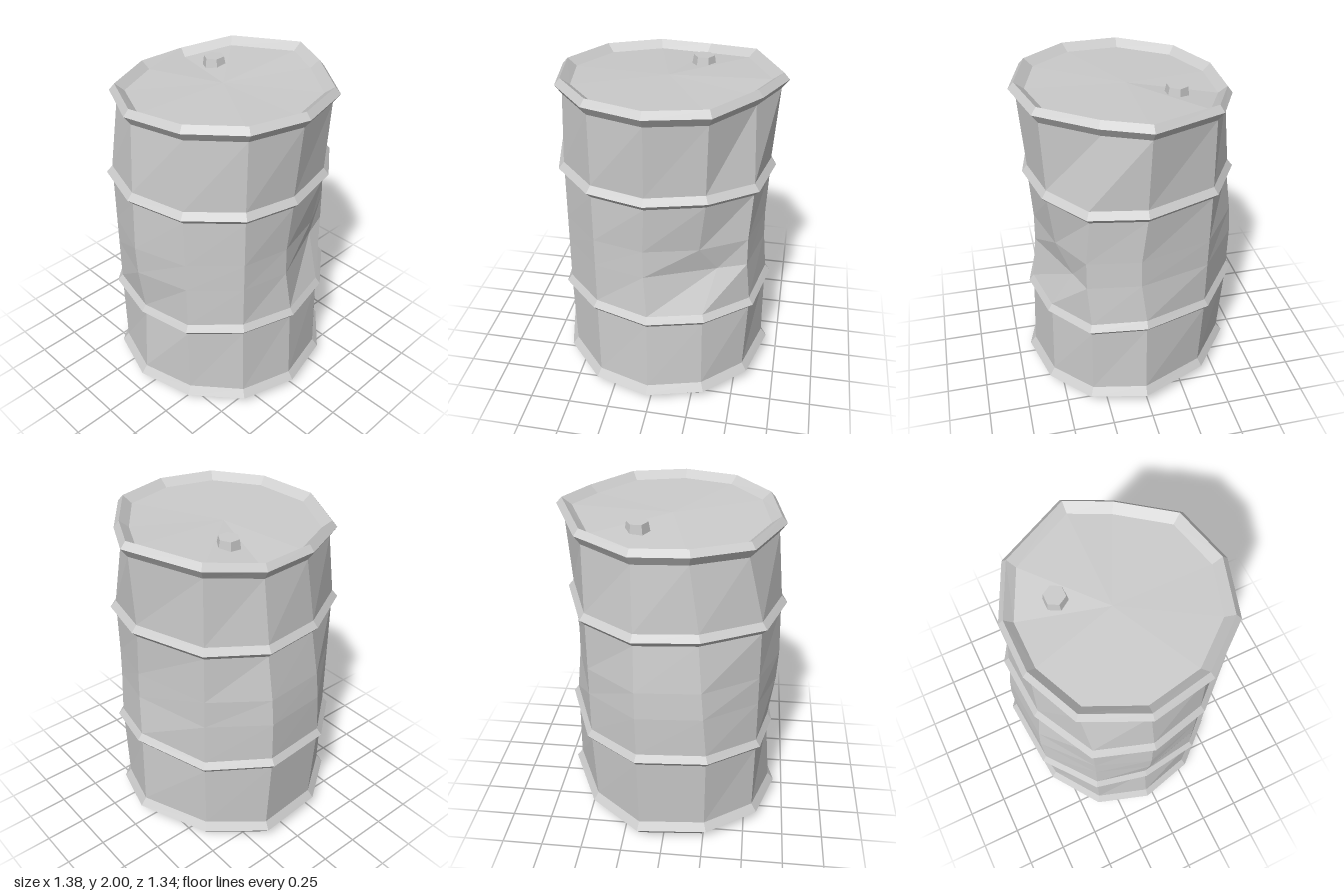
import * as THREE from 'three';

// Outermost corners [x, y, z] of the four hoops, from the front round past the model's left.
const bottomRim = [
  [-0.02, 0.06, 0.67], [0.33, 0.07, 0.585], [0.58, 0.08, 0.36], [0.68, 0.11, 0.02],
  [0.48, 0.08, -0.4], [0.16, 0.07, -0.645], [-0.27, 0.07, -0.61], [-0.58, 0.07, -0.39],
  [-0.69, 0.07, -0.05], [-0.6, 0.07, 0.3], [-0.36, 0.06, 0.565]];
const lowerHoop = [
  [-0.02, 0.61, 0.64], [0.32, 0.62, 0.565], [0.59, 0.63, 0.355], [0.665, 0.66, 0.02],
  [0.49, 0.61, -0.41], [0.16, 0.635, -0.67], [-0.27, 0.63, -0.635], [-0.575, 0.6, -0.39],
  [-0.645, 0.58, -0.06], [-0.6, 0.61, 0.3], [-0.36, 0.625, 0.55]];
const upperHoop = [
  [-0.03, 1.425, 0.625], [0.32, 1.44, 0.555], [0.58, 1.43, 0.35], [0.65, 1.435, 0.02],
  [0.49, 1.43, -0.42], [0.17, 1.415, -0.615], [-0.21, 1.42, -0.59], [-0.57, 1.42, -0.4],
  [-0.685, 1.43, -0.06], [-0.6, 1.425, 0.29], [-0.36, 1.435, 0.555]];
const topRim = [
  [-0.02, 1.96, 0.665], [0.33, 1.96, 0.58], [0.56, 1.96, 0.27], [0.685, 1.965, 0.01],
  [0.49, 1.94, -0.42], [0.18, 1.9, -0.575], [-0.15, 1.91, -0.575], [-0.48, 1.91, -0.43],
  [-0.65, 1.93, -0.08], [-0.585, 1.95, 0.29], [-0.36, 1.96, 0.565]];

// Copy of an outline, shrunk towards the axis and moved up or down
const inset = (ring, scale, dy) => ring.map(([x, y, z]) => [x * scale, Math.max(0, y + dy), z * scale]);
const between = (a, b, t) => a.map((p, k) => p.map((v, i) => v + (b[k][i] - v) * t));
const point = (y, n) => Array.from({ length: n }, () => [0, y, 0]);

// Joins closed outlines from bottom to top; the first and last shrink to a point
function skin(rows) {
  const n = rows[0].length, pos = [];
  for (let r = 0; r < rows.length - 1; r++) {
    for (let k = 0; k < n; k++) {
      const m = (k + 1) % n;
      const a = rows[r][k], b = rows[r][m], c = rows[r + 1][m], d = rows[r + 1][k];
      if (r > 0) pos.push(...a, ...b, ...c === d ? [] : c);
      else pos.push(...a, ...c, ...d);
      if (r > 0 && r < rows.length - 2) pos.push(...a, ...c, ...d);
    }
  }
  const geo = new THREE.BufferGeometry();
  geo.setAttribute('position', new THREE.Float32BufferAttribute(pos, 3));
  geo.computeVertexNormals();
  return geo;
}

export function createModel() {
  const group = new THREE.Group();
  group.name = 'dentedBarrel';
  const metal = new THREE.MeshStandardMaterial({ color: 0xcccccc, flatShading: true });
  const n = topRim.length;

  // Two rows across the middle panel carry the dents
  const low = inset(lowerHoop, 0.955, 0.04), high = inset(upperHoop, 0.95, -0.035);
  const dentLow = between(low, high, 0.36), dentHigh = between(low, high, 0.6);
  for (const row of [dentLow, dentHigh]) {
    row[0][0] -= 0.02; row[0][2] -= 0.025;
    row[2][0] -= 0.02; row[2][2] += 0.02;
    row[3][0] -= 0.015; row[3][2] += 0.03;
    row[5][2] -= 0.02;
    row[6][2] -= 0.02;
    row[8][0] -= 0.025;
  }
  dentLow[1] = [0.37, 0.92, 0.41];
  dentHigh[1] = [0.27, 1.09, 0.49];

  // Shell: base, hoops, wall panels, rim and sunken lid
  const shell = new THREE.Mesh(skin([
    point(0.01, n),
    inset(bottomRim, 0.9, -0.07), bottomRim, inset(bottomRim, 0.945, 0.05),
    inset(lowerHoop, 0.955, -0.035), lowerHoop, low,
    dentLow, dentHigh,
    high, upperHoop, inset(upperHoop, 0.95, 0.04),
    inset(topRim, 0.94, -0.055), topRim, inset(topRim, 0.95, 0.038),
    inset(topRim, 0.865, -0.005), point(1.94, n),
  ]), metal);
  shell.name = 'barrelShell';
  group.add(shell);

  // Hexagonal plug on the lid
  const plug = new THREE.Mesh(new THREE.CylinderGeometry(0.062, 0.072, 0.06, 6), metal);
  plug.name = 'lidPlug';
  plug.position.set(0.17, 1.945, -0.25);
  plug.rotation.set(-0.04, Math.PI / 6, 0);
  group.add(plug);

  return group;
}
